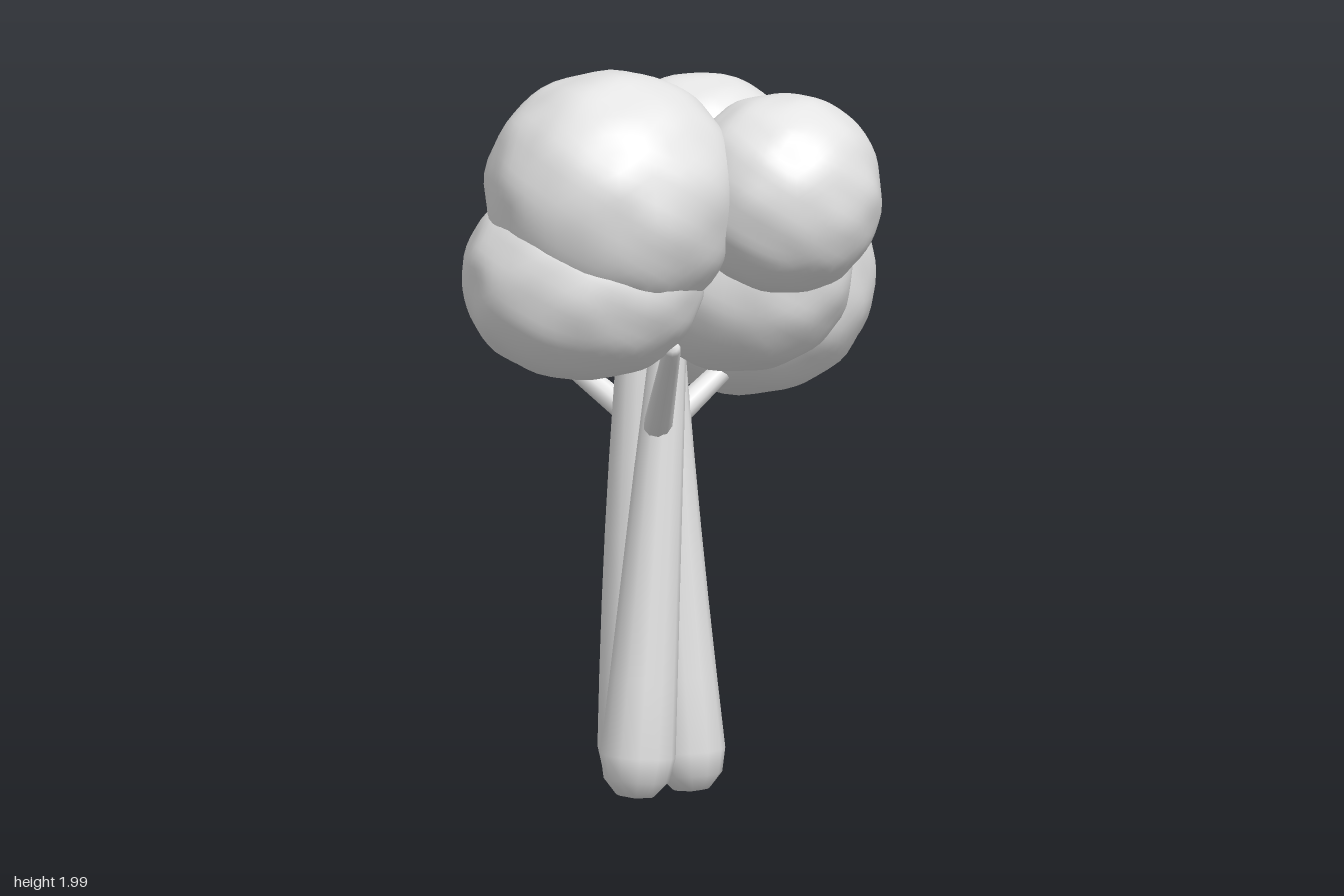
import * as THREE from 'three';
import { mergeVertices } from 'three/addons/utils/BufferGeometryUtils.js';

const grey = new THREE.MeshStandardMaterial({ color: 0xe4e4e4 });
grey.name = 'plain grey';

// Lumpy, slightly boxy ellipsoid: an icosphere pushed in and out by a smooth wave rule
function leafClump(name, center, radii, seed) {
  let geo = new THREE.IcosahedronGeometry(1, 10);
  geo.deleteAttribute('uv');
  geo.deleteAttribute('normal');
  geo = mergeVertices(geo, 1e-4);
  const pos = geo.attributes.position;
  const v = new THREE.Vector3();
  for (let i = 0; i < pos.count; i++) {
    v.fromBufferAttribute(pos, i);
    const bump =
      Math.sin(9.1 * v.x + 3.3 * v.y + seed) * Math.sin(8.7 * v.y - 3.1 * v.z + seed * 1.7) +
      Math.sin(9.3 * v.z + 4.1 * v.x + seed * 2.3) * Math.cos(8.9 * v.y + seed) +
      0.5 * Math.sin(13.1 * v.x + seed * 3.1) * Math.sin(12.7 * v.z - 5.3 * v.y + seed);
    const [xx, yy, zz] = [v.x * v.x, v.y * v.y, v.z * v.z];
    v.multiplyScalar(1 + 0.01 * bump + 0.08 * (xx * yy + yy * zz + zz * xx));
    pos.setXYZ(i, v.x * radii[0], v.y * radii[1], v.z * radii[2]);
  }
  geo.computeVertexNormals();
  const mesh = new THREE.Mesh(geo, grey);
  mesh.name = name;
  mesh.position.set(...center);
  return mesh;
}

// Tapered, round-ended limb from a to b, bowed sideways by (bowX, bowZ) at its middle
function limb(name, a, b, r0, r1, sides, bowX = 0, bowZ = 0) {
  const start = new THREE.Vector3(...a);
  const dir = new THREE.Vector3(...b).sub(start);
  const len = dir.length();
  const profile = [[0, 0], [0.5 * r0, 0.08 * r0], [0.87 * r0, 0.5 * r0]];
  for (let i = 0; i <= 6; i++) {
    const t = i / 6;
    profile.push([r0 + (r1 - r0) * t, 1.15 * r0 + (len - r1 - 1.15 * r0) * t]);
  }
  profile.push([0.75 * r1, len - 0.35 * r1], [0, len]);
  const geo = new THREE.LatheGeometry(profile.map(([x, y]) => new THREE.Vector2(x, y)), sides);
  const pos = geo.attributes.position;
  for (let i = 0; i < pos.count; i++) {
    const bow = Math.sin((Math.PI * pos.getY(i)) / len);
    pos.setX(i, pos.getX(i) + bowX * bow);
    pos.setZ(i, pos.getZ(i) + bowZ * bow);
  }
  const mesh = new THREE.Mesh(geo, grey);
  mesh.name = name;
  mesh.position.copy(start);
  mesh.quaternion.setFromUnitVectors(new THREE.Vector3(0, 1, 0), dir.normalize());
  return mesh;
}

export function createModel() {
  const tree = new THREE.Group();
  tree.name = 'tree';

  // Three leaning stems form the trunk
  const trunk = new THREE.Group();
  trunk.name = 'trunk';
  trunk.add(
    limb('frontStem', [-0.1, 0.01, 0.11], [0.0, 1.35, 0.035], 0.1, 0.046, 12),
    limb('leftStem', [0.055, 0.01, 0.01], [-0.015, 1.35, -0.05], 0.098, 0.046, 12, -0.008, 0),
    limb('backStem', [-0.09, 0.01, -0.075], [-0.085, 1.35, 0.01], 0.098, 0.05, 12, -0.012, 0.015),
  );

  // Thin branches reaching out from the trunk
  const branches = new THREE.Group();
  branches.name = 'branches';
  branches.add(
    limb('frontBranch', [-0.04, 0.98, 0.05], [-0.015, 1.285, 0.42], 0.039, 0.024, 10),
    limb('rightBranch', [-0.08, 1.0, -0.02], [-0.43, 1.28, -0.17], 0.036, 0.024, 10),
    limb('backBranch', [-0.01, 0.99, -0.03], [0.27, 1.22, -0.22], 0.036, 0.024, 10),
  );

  // Overlapping clumps of leaves
  const crown = new THREE.Group();
  crown.name = 'crown';
  [
    ['upperFrontClump', [-0.17, 1.665, 0.322], [0.34, 0.335, 0.36]],
    ['lowerFrontClump', [-0.25, 1.455, 0.355], [0.32, 0.268, 0.292]],
    ['leftClump', [0.283, 1.665, 0.283], [0.262, 0.265, 0.264]],
    ['topClump', [0.075, 1.685, -0.07], [0.265, 0.24, 0.23]],
    ['coreClump', [0.03, 1.54, -0.04], [0.265, 0.25, 0.272]],
    ['sideClump', [0.28, 1.52, -0.09], [0.215, 0.222, 0.205]],
    ['centreClump', [0.18, 1.44, 0.075], [0.298, 0.285, 0.288]],
    ['backClump', [0.215, 1.345, -0.345], [0.345, 0.325, 0.336]],
    ['backRightClump', [-0.065, 1.385, -0.215], [0.262, 0.252, 0.27]],
  ].forEach(([name, center, radii], i) => crown.add(leafClump(name, center, radii, 1.3 + i * 2.1)));

  tree.add(trunk, branches, crown);
  return tree;
}
